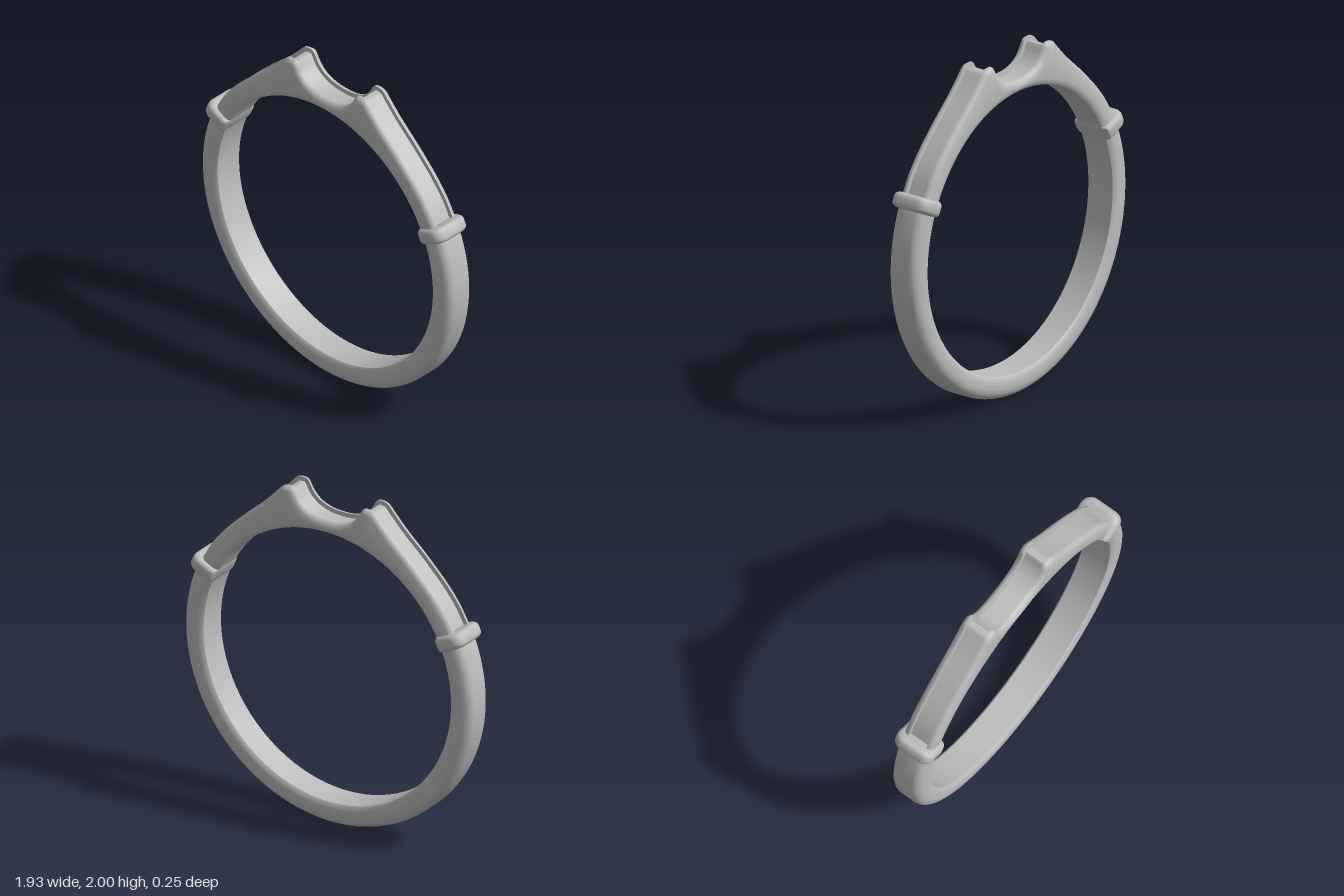
import * as THREE from 'three';
import { toCreasedNormals } from 'three/addons/utils/BufferGeometryUtils.js';

const CY = 0.963, INNER = 0.83, OUTER = 0.963;
const COLLAR_ANGLE = THREE.MathUtils.degToRad(25);

// Skin a row of closed cross-sections, optionally closing both ends.
function loft(sections, capped = false) {
  const n = sections[0].length, last = (sections.length - 1) * n, index = [];
  for (let s = 0; s < sections.length - 1; s++) {
    for (let j = 0; j < n; j++) {
      const a = s * n + j, b = s * n + (j + 1) % n, c = b + n, d = a + n;
      index.push(a, d, c, a, c, b);
    }
  }
  if (capped) {
    for (let j = 1; j < n - 1; j++) {
      index.push(0, j, j + 1, last, last + j + 1, last + j);
    }
  }
  const geo = new THREE.BufferGeometry().setFromPoints(sections.flat());
  geo.setIndex(index);
  return toCreasedNormals(geo, 0.65);
}

// Complete a half section (+z side, outside to inside) with its mirror.
const mirrorSection = half => [
  ...half, ...half.map(p => new THREE.Vector3(p.x, p.y, -p.z)).reverse(),
];

// Plain rounded band below the two collars.
function bandGeometry() {
  const profile = [[OUTER, 0.05], [0.958, 0.068], [0.945, 0.084], [0.925, 0.096],
    [0.9, 0.1], [0.865, 0.1], [0.842, 0.095], [INNER, 0.085]];
  const sections = [];
  for (let i = 0; i <= 120; i++) {
    const a = Math.PI - COLLAR_ANGLE + (Math.PI + 2 * COLLAR_ANGLE) * i / 120;
    sections.push(mirrorSection(profile.map(([r, z]) =>
      new THREE.Vector3(r * Math.cos(a), CY + r * Math.sin(a), z))));
  }
  return loft(sections);
}

// Shoulders, twin peaks and saddle, with a shallow channel along the top.
function crownGeometry() {
  const right = [[0.86, 1.36], [0.83, 1.42], [0.78, 1.505], [0.7, 1.605], [0.56, 1.745],
    [0.42, 1.872], [0.35, 1.945], [0.305, 1.992], [0.285, 2], [0.24, 2], [0.225, 1.985],
    [0.195, 1.935], [0.15, 1.893], [0.08, 1.867]];
  const outline = [...right, [0, 1.86], ...right.map(([x, y]) => [-x, y]).reverse()];
  const curve = new THREE.CatmullRomCurve3(
    outline.map(([x, y]) => new THREE.Vector3(x, y, 0)), false, 'centripetal');
  const sections = [];
  const N = 160;
  for (let i = 0; i <= N; i++) {
    const o = curve.getPointAt(i / N), t = curve.getTangentAt(i / N);
    const normal = new THREE.Vector3(t.y, -t.x, 0);
    const radial = new THREE.Vector3(o.x, o.y - CY, 0);
    const depth = radial.length() - INNER;
    radial.normalize();
    const fromTop = (d, z) => o.clone().addScaledVector(normal, -d).setZ(z);
    const fromBore = (d, z) => radial.clone().multiplyScalar(INNER + d)
      .add(new THREE.Vector3(0, CY, z));
    sections.push(mirrorSection([
      fromTop(0.025, 0.06), fromTop(0, 0.062), fromTop(0, 0.074),
      fromTop(0.01, 0.088), fromTop(0.028, 0.097),
      fromBore(Math.min(0.035, depth * 0.4), 0.1),
      fromBore(Math.min(0.012, depth * 0.2), 0.095), fromBore(0, 0.085),
    ]));
  }
  return loft(sections);
}

// Soft-edged collar wrapped around the band at a given angle.
function collarGeometry(angle) {
  const dir = new THREE.Vector3(Math.cos(angle), Math.sin(angle), 0);
  const tan = new THREE.Vector3(-dir.y, dir.x, 0);
  const steps = [[-0.045, 0.026], [-0.041, 0.013], [-0.032, 0.004], [-0.02, 0],
    [0.02, 0], [0.032, 0.004], [0.041, 0.013], [0.045, 0.026]];
  const sections = steps.map(([t, inset]) => {
    const at = (r, z) => dir.clone().multiplyScalar(r).addScaledVector(tan, t)
      .add(new THREE.Vector3(0, CY, z));
    const half = [], R = 0.06, top = 1 - inset, side = 0.125 - inset;
    for (let k = 0; k <= 6; k++) {
      const a = k / 6 * Math.PI / 2;
      half.push(at(top - R + R * Math.cos(a), side - R + R * Math.sin(a)));
    }
    half.push(at(0.855, side), at(0.836, side - 0.006), at(0.828, side - 0.022));
    return mirrorSection(half);
  });
  return loft(sections, true);
}

export function createModel() {
  const metal = new THREE.MeshStandardMaterial({ color: 0xbdbdbd });
  metal.name = 'satin silver';
  const group = new THREE.Group();
  group.name = 'ring';
  const add = (name, geometry) => {
    const mesh = new THREE.Mesh(geometry, metal);
    mesh.name = name;
    group.add(mesh);
  };
  add('band', bandGeometry());
  add('crown', crownGeometry());
  add('leftCollar', collarGeometry(COLLAR_ANGLE));
  add('rightCollar', collarGeometry(Math.PI - COLLAR_ANGLE));
  return group;
}
